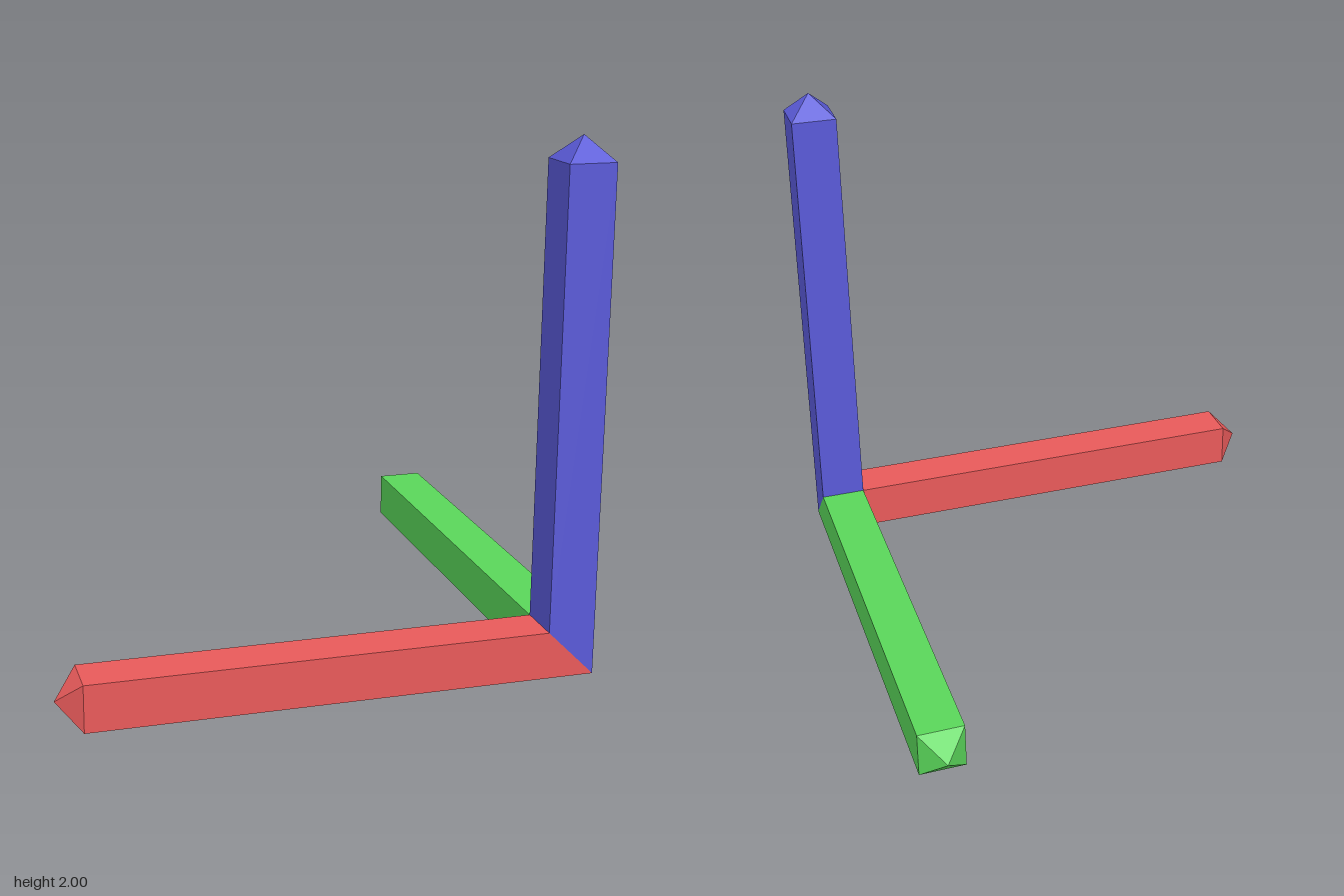
import * as THREE from 'three';

const LENGTH = 2, WIDTH = 0.18, TIP = 0.09;

// Square bar along +x: mitred at the origin corner, pyramid point at the far end
function barGeometry() {
  const w = WIDTH;
  const section = [[0, 0], [w, 0], [w, w], [0, w]];
  const mitre = section.map(([y, z]) => [Math.max(y, z), y, z]);
  const shoulder = section.map(([y, z]) => [LENGTH - TIP, y, z]);
  const point = [LENGTH, w / 2, w / 2];

  const tris = [];
  for (let i = 0; i < 4; i++) {
    const j = (i + 1) % 4;
    tris.push(mitre[i], mitre[j], shoulder[j], mitre[i], shoulder[j], shoulder[i]); // side
    tris.push(shoulder[i], shoulder[j], point); // point facet
  }
  // Mitred faces that meet the two neighbouring bars
  tris.push(mitre[0], mitre[2], mitre[1], mitre[0], mitre[3], mitre[2]);

  const geometry = new THREE.BufferGeometry();
  geometry.setAttribute('position', new THREE.Float32BufferAttribute(tris.flat(), 3));
  geometry.computeVertexNormals();
  return geometry;
}

export function createModel() {
  const group = new THREE.Group();
  group.name = 'axisMarker';

  // The three bars run from one shared corner; each takes the next direction as its length
  const directions = [
    new THREE.Vector3(-1, 0, 0),
    new THREE.Vector3(0, 1, 0),
    new THREE.Vector3(0, 0, -1),
  ];
  const bars = [
    ['sidewaysBar', 0xe85a5a],
    ['uprightBar', 0x5a5ad8],
    ['backwardBar', 0x5ad65a],
  ];
  bars.forEach(([name, color], i) => {
    const basis = new THREE.Matrix4().makeBasis(
      directions[i], directions[(i + 1) % 3], directions[(i + 2) % 3]);
    const material = new THREE.MeshStandardMaterial({ color, flatShading: true });
    const bar = new THREE.Mesh(barGeometry().applyMatrix4(basis), material);
    bar.name = name;
    bar.position.set(1, 0, 1);
    group.add(bar);
  });
  return group;
}
